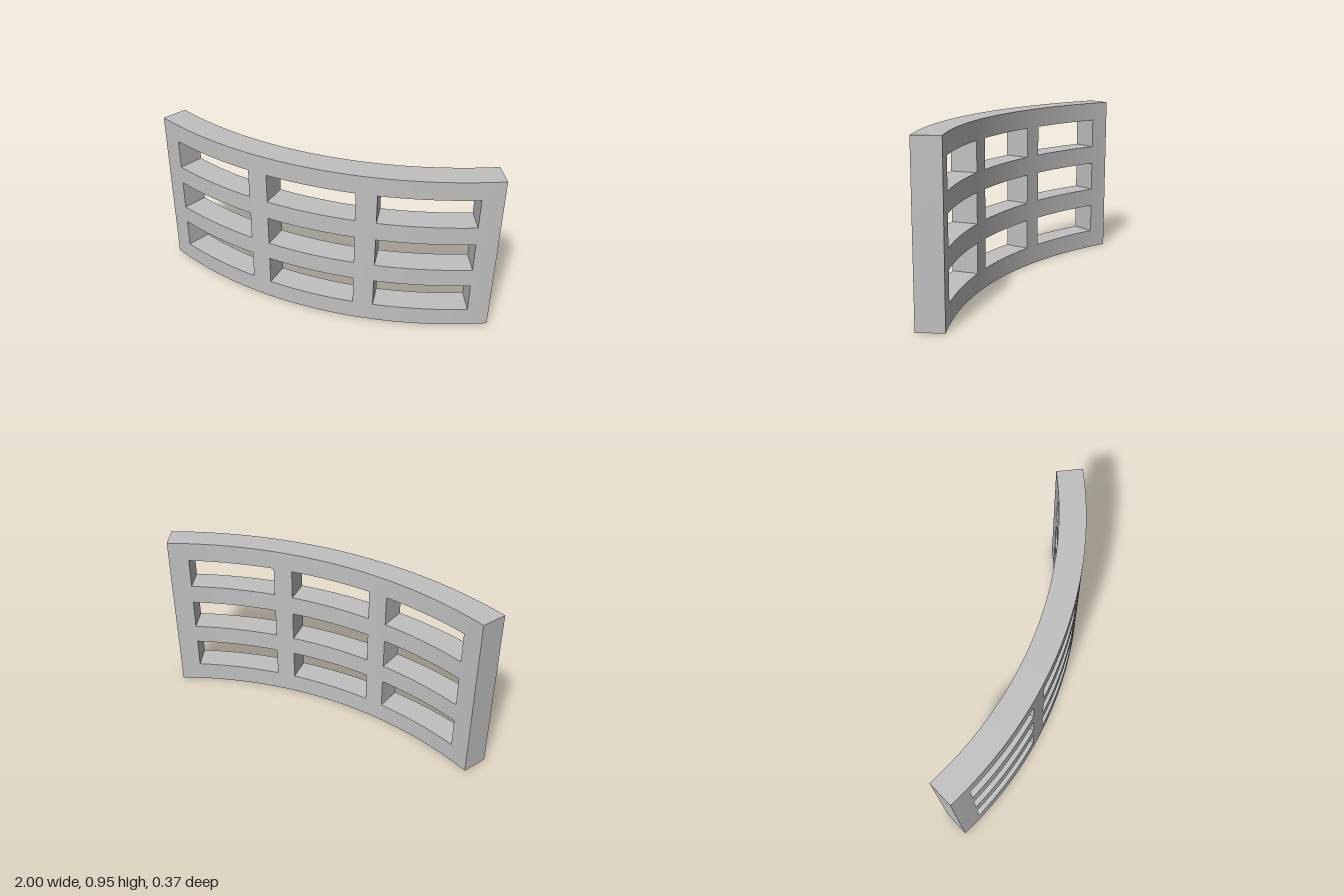
import * as THREE from 'three';

const OUTER = 2.271, INNER = 2.121, CENTRE_Z = -2.086;
const STEPS = 12; // arc segments per opening

// Column breaks (degrees) and row breaks (height); odd bands hold the openings
const COLS = [-26.12, -23.01, -9.42, -6.49, 6.49, 9.42, 23.01, 26.12].map(THREE.MathUtils.degToRad);
const ROWS = [0, 0.11, 0.281, 0.39, 0.562, 0.671, 0.843, 0.952];

const solid = (c, r) =>
  c >= 0 && r >= 0 && c < COLS.length - 1 && r < ROWS.length - 1 && !(c % 2 && r % 2);

// Collects quads whose corners are [radius, angle, height]
function createCollector() {
  const positions = [], normals = [];
  return {
    quad(corners, normalAt) {
      for (const i of [0, 1, 2, 0, 2, 3]) {
        const [r, t, y] = corners[i];
        positions.push(r * Math.sin(t), y, CENTRE_Z + r * Math.cos(t));
        normals.push(...normalAt(t));
      }
    },
    geometry() {
      const g = new THREE.BufferGeometry();
      g.setAttribute('position', new THREE.Float32BufferAttribute(positions, 3));
      g.setAttribute('normal', new THREE.Float32BufferAttribute(normals, 3));
      return g;
    },
  };
}

// Curved lattice: every solid cell adds its two faces and only its exposed sides
function latticeGeometry() {
  const out = createCollector();
  for (let c = 0; c < COLS.length - 1; c++) {
    const steps = c % 2 ? STEPS : 3;
    for (let r = 0; r < ROWS.length - 1; r++) {
      if (!solid(c, r)) continue;
      const y0 = ROWS[r], y1 = ROWS[r + 1];
      for (let s = 0; s < steps; s++) {
        const a = THREE.MathUtils.lerp(COLS[c], COLS[c + 1], s / steps);
        const b = THREE.MathUtils.lerp(COLS[c], COLS[c + 1], (s + 1) / steps);
        // front and back
        out.quad([[OUTER, a, y0], [OUTER, b, y0], [OUTER, b, y1], [OUTER, a, y1]],
          t => [Math.sin(t), 0, Math.cos(t)]);
        out.quad([[INNER, b, y0], [INNER, a, y0], [INNER, a, y1], [INNER, b, y1]],
          t => [-Math.sin(t), 0, -Math.cos(t)]);
        // top and underside
        if (!solid(c, r + 1))
          out.quad([[OUTER, a, y1], [OUTER, b, y1], [INNER, b, y1], [INNER, a, y1]], () => [0, 1, 0]);
        if (!solid(c, r - 1))
          out.quad([[OUTER, b, y0], [OUTER, a, y0], [INNER, a, y0], [INNER, b, y0]], () => [0, -1, 0]);
      }
      // radial ends
      const a = COLS[c], b = COLS[c + 1];
      if (!solid(c + 1, r))
        out.quad([[OUTER, b, y0], [INNER, b, y0], [INNER, b, y1], [OUTER, b, y1]],
          t => [Math.cos(t), 0, -Math.sin(t)]);
      if (!solid(c - 1, r))
        out.quad([[INNER, a, y0], [OUTER, a, y0], [OUTER, a, y1], [INNER, a, y1]],
          t => [-Math.cos(t), 0, Math.sin(t)]);
    }
  }
  return out.geometry();
}

export function createModel() {
  const group = new THREE.Group();
  group.name = 'curvedLatticePanel';
  const grey = new THREE.MeshStandardMaterial({ color: 0xc0c0c0 });
  grey.name = 'light grey';
  const panel = new THREE.Mesh(latticeGeometry(), grey);
  panel.name = 'curvedLattice';
  group.add(panel);
  return group;
}
